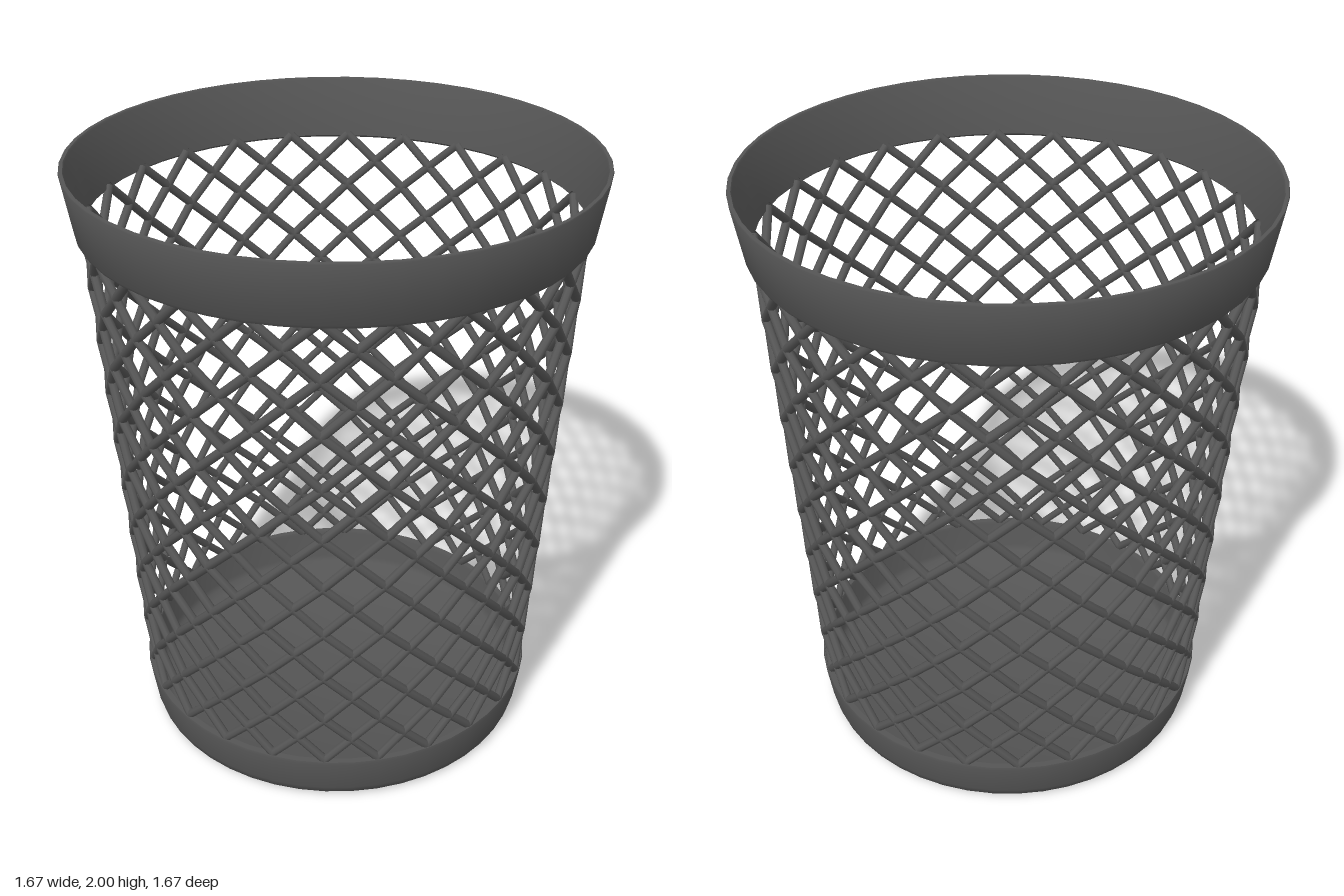
import * as THREE from 'three';
import { mergeGeometries, toCreasedNormals } from 'three/addons/utils/BufferGeometryUtils.js';

const STRANDS = 24; // wires in each direction
const STEPS = 9; // straight pieces per wire, one diamond high each
const LOW = { y: 0.165, r: 0.67 };
const HIGH = { y: 1.81, r: 0.778 };

// A wire that climbs the tapered wall in straight chords
class Strand extends THREE.Curve {
  constructor(start, direction) {
    super();
    this.start = start;
    this.direction = direction;
  }
  corner(i) {
    const t = i / STEPS;
    const angle = (this.start + this.direction * i) * Math.PI * 2 / STRANDS;
    const r = THREE.MathUtils.lerp(LOW.r, HIGH.r, t);
    const y = THREE.MathUtils.lerp(LOW.y, HIGH.y, t);
    return new THREE.Vector3(Math.sin(angle) * r, y, Math.cos(angle) * r);
  }
  getPoint(t) {
    const i = Math.min(Math.floor(t * STEPS + 1e-6), STEPS - 1);
    return this.corner(i).lerp(this.corner(i + 1), t * STEPS - i);
  }
  getPointAt(t) { return this.getPoint(t); }
  getTangentAt(t) { return this.getTangent(t); }
}

function lathe(profile) {
  const points = profile.map(([r, y]) => new THREE.Vector2(r, y));
  return toCreasedNormals(new THREE.LatheGeometry(points, 48), 0.7);
}

export function createModel() {
  const group = new THREE.Group();
  const material = new THREE.MeshStandardMaterial({ color: 0x555555, side: THREE.DoubleSide });
  const add = (name, geometry) => {
    const mesh = new THREE.Mesh(geometry, material);
    mesh.name = name;
    group.add(mesh);
  };

  // Solid cup at the bottom with a rounded foot and a floor
  add('base', lathe([
    [0, 0], [0.62, 0], [0.648, 0.004], [0.664, 0.016], [0.671, 0.04],
    [0.688, 0.155], [0.686, 0.165], [0.666, 0.165], [0.662, 0.155],
    [0.65, 0.055], [0.64, 0.035], [0.615, 0.022], [0, 0.02],
  ]));

  // Flared band around the opening
  add('rim', lathe([
    [0.778, 1.805], [0.785, 1.798], [0.797, 1.8], [0.805, 1.812],
    [0.835, 1.996], [0.833, 2], [0.822, 2], [0.818, 1.994], [0.778, 1.805],
  ]));

  // Two sets of wires winding opposite ways
  for (const direction of [1, -1]) {
    const wires = [];
    for (let i = 0; i < STRANDS; i++) {
      wires.push(new THREE.TubeGeometry(new Strand(i, direction), STEPS, 0.0145, 8));
    }
    add(direction > 0 ? 'leftWindingWires' : 'rightWindingWires', mergeGeometries(wires));
  }

  return group;
}
